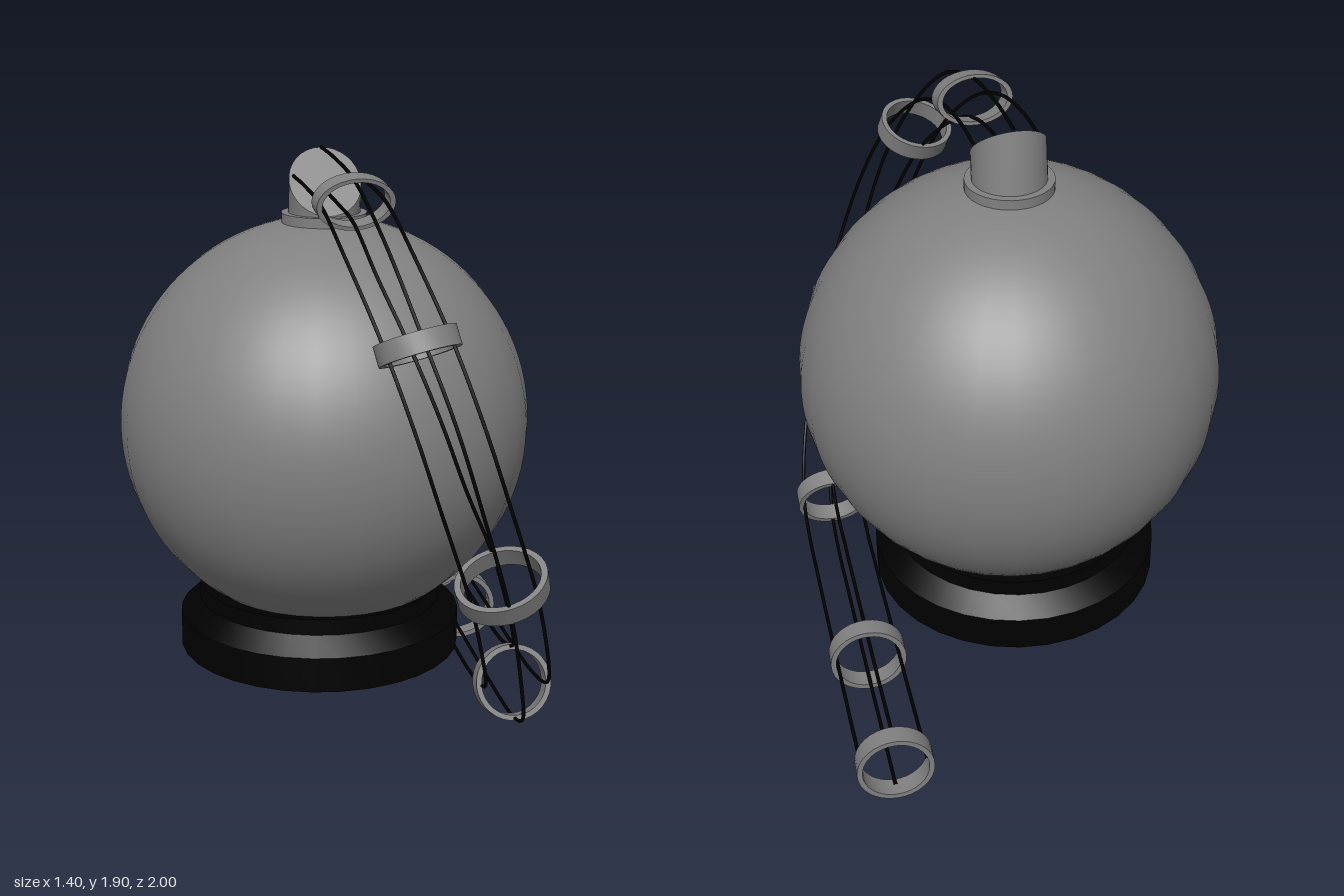
import * as THREE from 'three';
import { toCreasedNormals } from 'three/addons/utils/BufferGeometryUtils.js';

const grey = new THREE.MeshStandardMaterial({ color: 0x808080 });
const black = new THREE.MeshStandardMaterial({ color: 0x000000 });
const V = (x, y, z) => new THREE.Vector3(x, y, z);

// Stations along the hose cage:
// [x, outer z, y, middle z, y, inner z, y]
const stations = [
  [0.00, -0.185, 1.903, -0.11, 1.82, -0.04, 1.77],
  [0.01, 0.05, 1.895, 0.09, 1.815, 0.12, 1.757],
  [0.03, 0.29, 1.86, 0.28, 1.785, 0.265, 1.727],
  [0.065, 0.60, 1.727, 0.545, 1.663, 0.50, 1.595],
  [0.135, 0.855, 1.48, 0.765, 1.455, 0.68, 1.41],
  [0.21, 0.965, 1.25, 0.88, 1.22, 0.765, 1.21],
  [0.285, 0.997, 1.00, 0.92, 0.98, 0.79, 1.00],
  [0.39, 0.95, 0.66, 0.86, 0.68, 0.737, 0.76],
  [0.475, 0.80, 0.33, 0.71, 0.41, 0.62, 0.52],
  [0.53, 0.62, 0.155, 0.54, 0.25, 0.48, 0.37],
  [0.56, 0.40, 0.058, 0.36, 0.165, 0.325, 0.285],
  [0.567, 0.20, 0.033, 0.18, 0.132, 0.17, 0.247],
  [0.568, 0.00, 0.03, 0.00, 0.125, 0.00, 0.238],
  [0.57, -0.46, 0.03, -0.46, 0.125, -0.46, 0.235],
  [0.57, -0.96, 0.03, -0.96, 0.125, -0.96, 0.235],
].map(([x, zo, yo, zm, ym, zi, yi]) => ({
  outer: V(x, yo, zo),
  middle: V(x, ym, zm),
  inner: V(x, yi, zi),
}));

// Hoops: [station, sideways direction y, z, width factor]
const hoops = [
  [2, 0.05, -0.10, 1],
  [4, 0.24, 0, 1],
  [7, 0.32, 0, 1.13],
  [10, 0.05, 0, 1],
  [13, 0, 0.04, 1],
  [14, 0, 0.04, 0.97],
];

function lathe(profile, segments) {
  const points = profile.map(([r, y]) => new THREE.Vector2(r, y));
  return toCreasedNormals(new THREE.LatheGeometry(points, segments), 0.5);
}

export function createModel() {
  const group = new THREE.Group();
  const add = (name, geometry, material, x = 0, y = 0, z = 0) => {
    const mesh = new THREE.Mesh(geometry, material);
    mesh.name = name;
    mesh.position.set(x, y, z);
    group.add(mesh);
    return mesh;
  };

  // Spherical body
  add('body', new THREE.SphereGeometry(0.695, 32, 48), grey, -0.003, 0.987, -0.105);

  // Stepped base with a sloped shoulder
  add('base', lathe([[0, 0.18], [0.487, 0.18], [0.487, 0.30], [0.42, 0.355],
    [0.42, 0.41], [0, 0.41]], 32), black, -0.02, 0, -0.115);

  // Neck flange
  add('neckFlange', lathe([[0.143, 1.64], [0.143, 1.70], [0, 1.70]], 32),
    grey, -0.003, 0, -0.105);

  // Spout: a cylinder whose top is cut on a slant towards the front
  const spout = new THREE.CylinderGeometry(0.12, 0.12, 0.2, 32);
  const p = spout.attributes.position;
  for (let i = 0; i < p.count; i++) {
    const z = p.getZ(i);
    if (p.getY(i) > 0) p.setXYZ(i, p.getX(i), 1.803 - z * 0.833, 0.02 + z * 0.833);
    else p.setY(i, 1.69);
  }
  add('spout', toCreasedNormals(spout, 0.6), grey, -0.003, 0, -0.105);

  // Four wires: outer, inner and one on each side
  const wire = (name, pointAt) => {
    const curve = new THREE.CatmullRomCurve3(stations.map(pointAt), false, 'centripetal');
    add(name, new THREE.TubeGeometry(curve, 140, 0.006, 8), black);
  };
  wire('outerWire', s => s.outer);
  wire('innerWire', s => s.inner);
  wire('leftWire', s => s.middle.clone().add(V(0.105, 0, 0)));
  wire('rightWire', s => s.middle.clone().add(V(-0.105, 0, 0)));

  // Hoops around the wires, flattened near the spout
  const R = 0.128, r = 0.11, h = 0.032;
  const hoop = lathe([[R, -h], [R, h], [r, h], [r, -h], [R, -h]], 32);
  hoops.forEach(([k, sideY, sideZ, width], i) => {
    const { outer, inner } = stations[k];
    const side = V(1, sideY, sideZ).normalize();
    const up = outer.clone().sub(inner);
    const height = Math.min(R, up.length() * 0.5 * 1.24);
    up.addScaledVector(side, -up.dot(side)).normalize();
    const along = up.clone().cross(side).normalize();
    const centre = outer.clone().add(inner).multiplyScalar(0.5);
    const mesh = add('hoop' + (i + 1), hoop, grey, centre.x, centre.y, centre.z);
    mesh.quaternion.setFromRotationMatrix(new THREE.Matrix4().makeBasis(side, along, up));
    mesh.scale.set(width, 1, height / R);
  });

  return group;
}
